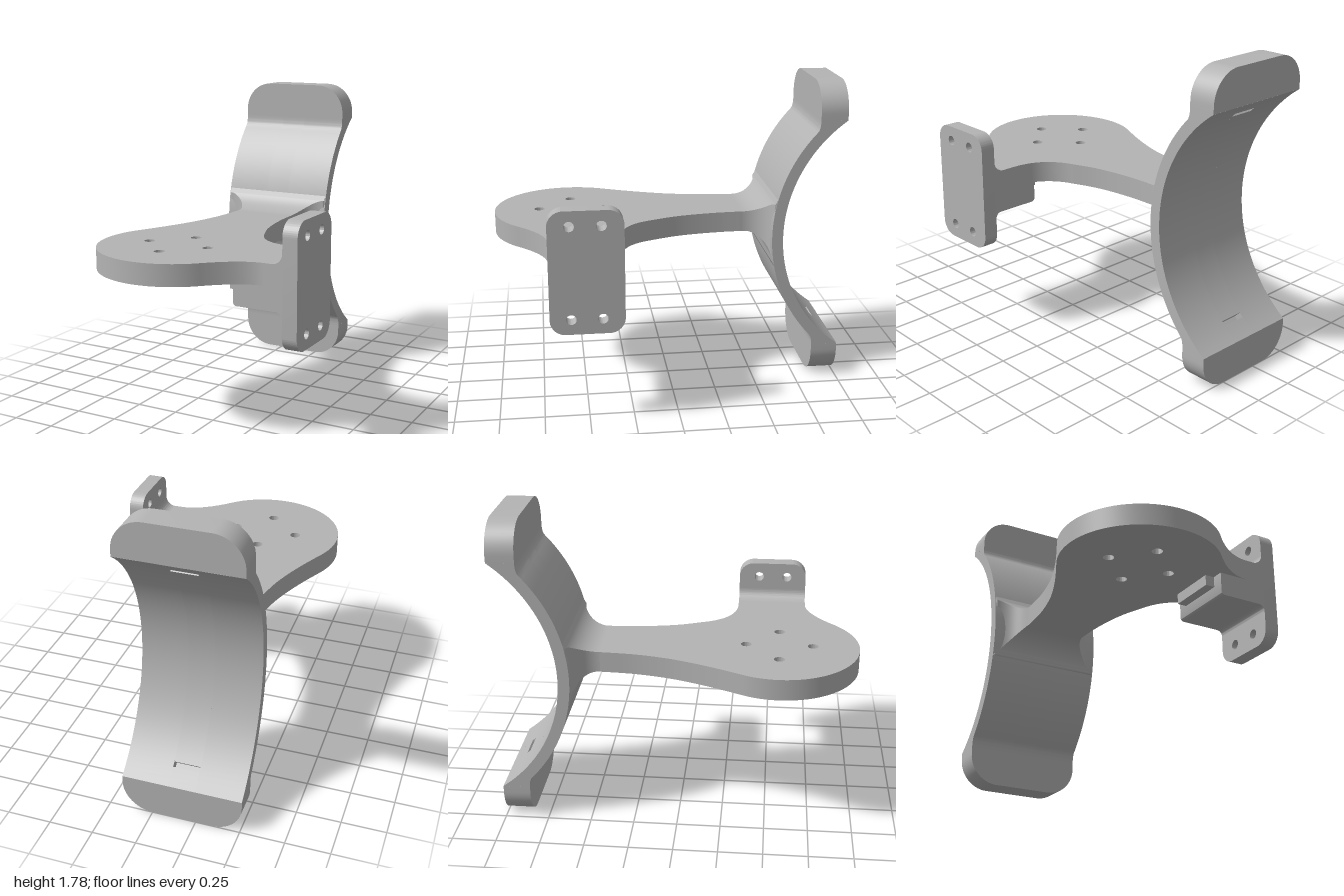
import * as THREE from 'three';
import { toCreasedNormals } from 'three/addons/utils/BufferGeometryUtils.js';

const MID_X = -0.17, MID_Y = 0.89, HALF_W = 0.34;

function extrude(shape, depth) {
  const g = new THREE.ExtrudeGeometry(shape, { depth, bevelEnabled: false, curveSegments: 32 });
  return g;
}

// Extrudes a (-z, y) profile along x
function extrudeX(shape, x0, x1) {
  return extrude(shape, x1 - x0).rotateY(Math.PI / 2).translate(x0, 0, 0);
}

function hole(shape, x, y, r) {
  shape.holes.push(new THREE.Path().absarc(x, y, r, 0, Math.PI * 2, true));
}

function roundedRect(x0, y0, x1, y1, r) {
  const s = new THREE.Shape();
  s.absarc(x1 - r, y1 - r, r, 0, Math.PI / 2);
  s.absarc(x0 + r, y1 - r, r, Math.PI / 2, Math.PI);
  s.absarc(x0 + r, y0 + r, r, Math.PI, Math.PI * 1.5);
  s.absarc(x1 - r, y0 + r, r, Math.PI * 1.5, Math.PI * 2);
  s.closePath();
  return s;
}

// Teardrop plate outline; shape y is -z
function plateShape() {
  const v = (x, z) => new THREE.Vector2(x, -z);
  const s = new THREE.Shape();
  s.moveTo(-0.355, 0.44);
  s.splineThru([v(-0.368, -0.25), v(-0.4, -0.08), v(-0.44, 0.05), v(-0.5, 0.2), v(-0.575, 0.36)]);
  s.absarc(-0.175, -0.555, 0.445, 2.69, 5.5, false);
  s.quadraticCurveTo(0.3, -0.705, 0.43, -0.705);
  s.lineTo(0.54, -0.705);
  s.lineTo(0.54, -0.3);
  s.lineTo(0.4, -0.3);
  s.quadraticCurveTo(0.19, -0.3, 0.12, -0.11);
  s.splineThru([v(0.07, -0.02), v(0.04, -0.15), v(0.021, -0.3), v(0.015, -0.44)]);
  s.closePath();
  for (const [dx, dz] of [[0.187, 0], [-0.187, 0], [0, 0.187], [0, -0.187]]) {
    hole(s, -0.177 + dx, -0.553 + dz, 0.03);
  }
  return s;
}

// Curved cradle profile, optionally with the two slot pockets in its inner face
function cradleShape(slotted) {
  const cu = 1.486, ri = 0.8356, ro = 0.9, a = 0.9503, b = 0.7545;
  const pts = [];
  const polar = (r, t) => pts.push(new THREE.Vector2(cu - r * Math.cos(t), MID_Y + r * Math.sin(t)));
  const arc = (r, t0, t1, n) => {
    for (let i = 0; i <= n; i++) polar(r, t0 + (t1 - t0) * i / n);
  };
  if (slotted) {
    const s0 = 0.785, s1 = 0.82, d = ri + 0.05;
    arc(ri, -a, -s1, 4);
    arc(d, -s1, -s0, 1);
    arc(ri, -s0, s0, 40);
    arc(d, s0, s1, 1);
    arc(ri, s1, a, 4);
  } else arc(ri, -a, a, 48);
  const fillet = new THREE.QuadraticBezierCurve(
    new THREE.Vector2(0.845, 1.57), new THREE.Vector2(0.845, 1.525),
    new THREE.Vector2(cu - ro * Math.cos(b), MID_Y + ro * Math.sin(b))).getPoints(8);
  pts.push(...fillet);
  arc(ro, b - 0.03, -b + 0.03, 44);
  pts.push(...fillet.slice().reverse().map(p => new THREE.Vector2(p.x, 2 * MID_Y - p.y)));
  return new THREE.Shape(pts);
}

// End pad with two rounded outer corners
function padShape(flip) {
  const y = h => (flip ? 2 * MID_Y - h : h);
  const x0 = MID_X - HALF_W, x1 = MID_X + HALF_W, r = 0.17, top = 1.78;
  const pts = [new THREE.Vector2(x0, y(1.57)), new THREE.Vector2(x1, y(1.57))];
  for (const [cx, start] of [[x1 - r, 0], [x0 + r, Math.PI / 2]]) {
    for (let i = 0; i <= 14; i++) {
      const t = start + Math.PI / 2 * i / 14;
      pts.push(new THREE.Vector2(cx + r * Math.cos(t), y(top - r + r * Math.sin(t))));
    }
  }
  return new THREE.Shape(pts);
}

// Neck flaring from the plate into the cradle: rectangular sections along z
function neckGeometry() {
  const flare = t => 1 - Math.sqrt(1 - Math.min(1, Math.max(0, t)) ** 2);
  const sections = [];
  const n = 20;
  for (let i = 0; i <= n + 1; i++) {
    const z = i > n ? -0.62 : -0.44 - 0.16 * Math.sin(Math.PI / 2 * i / n);
    const w = 0.185 + 0.15 * flare((-0.44 - z) / 0.16);
    const top = 1.01 + 0.17 * flare((-0.44 - z) / 0.19);
    const low = 0.89 - 0.17 * flare((-0.45 - z) / 0.15);
    sections.push([[MID_X - w, top, z], [MID_X + w, top, z], [MID_X + w, low, z], [MID_X - w, low, z]]);
  }
  const pos = [], idx = [];
  for (let k = 0; k < 4; k++) {
    sections.forEach((s, i) => {
      const o = pos.length / 3;
      pos.push(...s[k], ...s[(k + 1) % 4]);
      if (i < sections.length - 1) idx.push(o, o + 1, o + 3, o, o + 3, o + 2);
    });
  }
  const g = new THREE.BufferGeometry();
  g.setAttribute('position', new THREE.Float32BufferAttribute(pos, 3));
  g.setIndex(idx);
  g.computeVertexNormals();
  return g;
}

export function createModel() {
  const model = new THREE.Group();
  model.name = 'cradleBracket';
  const grey = new THREE.MeshStandardMaterial({ color: 0xb4b4b4 });
  grey.name = 'grey';
  const add = (name, geometry, crease = true) => {
    const mesh = new THREE.Mesh(crease ? toCreasedNormals(geometry, 0.5) : geometry, grey);
    mesh.name = name;
    model.add(mesh);
  };

  // Horizontal plate and its flared neck
  add('basePlate', extrude(plateShape(), 0.12).rotateX(-Math.PI / 2).translate(0, 0.89, 0));
  add('neck', neckGeometry(), false);

  // Cradle, in three strips so the middle one holds the slots
  const xs = [MID_X - HALF_W, MID_X - 0.075, MID_X + 0.075, MID_X + HALF_W];
  for (let i = 0; i < 3; i++) {
    add(['cradleRight', 'cradleSlots', 'cradleLeft'][i], extrudeX(cradleShape(i === 1), xs[i], xs[i + 1]));
  }
  add('upperPad', extrude(padShape(false), 0.155).translate(0, 0, -1));
  add('lowerPad', extrude(padShape(true), 0.155).translate(0, 0, -1));

  // Upright side mounting plate with four screw holes
  const mount = roundedRect(-0.705, 0.545, -0.3, 1.235, 0.085);
  for (const z of [0.59, 0.42]) for (const y of [0.63, 1.15]) hole(mount, -z, y, 0.028);
  add('mountPlate', extrudeX(mount, 0.535, 0.62));

  // Fillet above the plate
  const fillet = new THREE.Shape();
  fillet.moveTo(0.475, 1.009);
  fillet.lineTo(0.475, 1.01);
  fillet.absarc(0.475, 1.07, 0.06, -Math.PI / 2, 0, false);
  fillet.lineTo(0.537, 1.07);
  fillet.lineTo(0.537, 1.009);
  add('mountFillet', extrude(fillet, 0.405).translate(0, 0, 0.3));

  // Support block under the plate
  const block = new THREE.Shape();
  block.moveTo(0.25, 0.891);
  block.lineTo(0.25, 0.78);
  block.absarc(0.27, 0.78, 0.02, Math.PI, Math.PI * 1.5, false);
  block.lineTo(0.5, 0.76);
  block.absarc(0.5, 0.725, 0.035, Math.PI / 2, 0, true);
  block.lineTo(0.537, 0.725);
  block.lineTo(0.537, 0.891);
  add('supportBlock', extrude(block, 0.405).translate(0, 0, 0.3));
  add('supportStep', new THREE.BoxGeometry(0.07, 0.062, 0.28).translate(0.23, 0.861, 0.5), false);

  return model;
}
